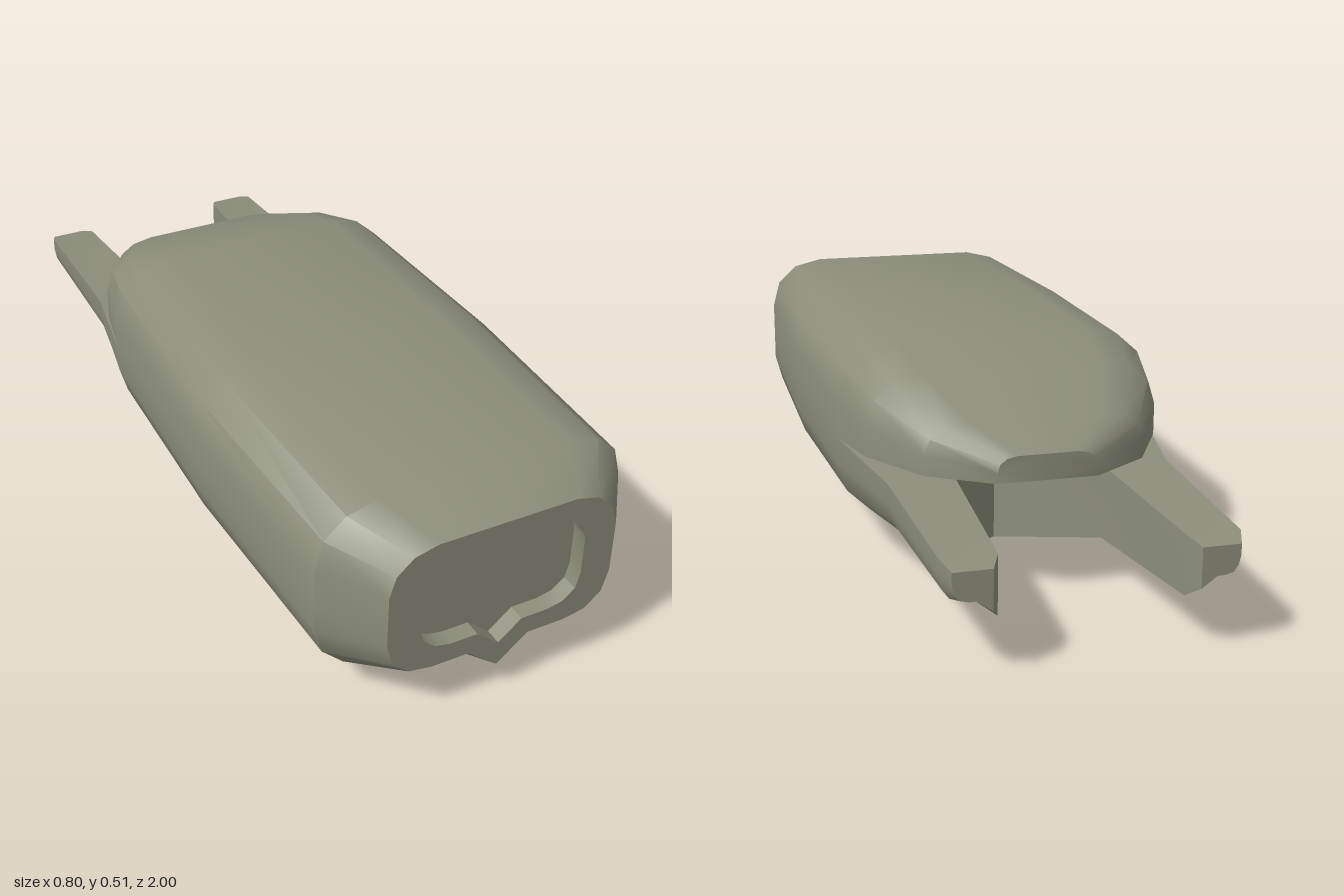
import * as THREE from 'three';
import { toCreasedNormals } from 'three/addons/utils/BufferGeometryUtils.js';

// Half cross-section of the hull, from top centre round to the keel ridge
const HALF = [
  [0, 0.515], [0.245, 0.515], [0.325, 0.497], [0.38, 0.45], [0.4, 0.38], [0.4, 0.285],
  [0.4, 0.22], [0.38, 0.152], [0.325, 0.102], [0.25, 0.085], [0.165, 0.085], [0, 0],
];
const FACE = [
  [0, 0.47], [0.165, 0.47], [0.22, 0.456], [0.26, 0.42], [0.275, 0.37], [0.275, 0.285],
  [0.275, 0.24], [0.26, 0.185], [0.22, 0.15], [0.165, 0.14], [0.075, 0.14], [0, 0.078],
];
const RECESS = [
  [0, 0.425], [0.12, 0.425], [0.158, 0.416], [0.188, 0.388], [0.198, 0.355], [0.198, 0.285],
  [0.198, 0.258], [0.188, 0.22], [0.158, 0.195], [0.12, 0.187], [0.055, 0.187], [0, 0.14],
];
const SPLIT_Z = -0.24; // where the body divides into tail and arms
const SPLIT_Y = 0.285;

const at = (pts, z) => pts.map(([x, y]) => [x, y, z]);

// Closes a half section by mirroring its inner points
const mirrored = (half) =>
  half.concat(half.slice(1, -1).reverse().map(([x, y, z]) => [-x, y, z]));

// Hull half section at a given half width and keel width
const section = (width, keel) =>
  HALF.map(([x, y], i) => [i === 10 ? keel : (x * width) / 0.4, y]);

// Flat end cap facing +z or -z
function cap(out, ring, facing) {
  const flat = ring.map(([x, y]) => new THREE.Vector2(x, y));
  for (const [a, b, c] of THREE.ShapeUtils.triangulateShape(flat, [])) {
    const area = THREE.ShapeUtils.area([flat[a], flat[b], flat[c]]);
    const order = area * facing > 0 ? [a, b, c] : [a, c, b];
    for (const i of order) out.push(...ring[i]);
  }
}

// Skin through rings that run from front to back
function loft(out, rings) {
  for (let r = 0; r < rings.length - 1; r++) {
    const n = rings[r].length;
    for (let i = 0; i < n; i++) {
      const j = (i + 1) % n;
      const a = rings[r][i], b = rings[r][j], c = rings[r + 1][j], d = rings[r + 1][i];
      out.push(...a, ...b, ...c, ...a, ...c, ...d);
    }
  }
}

export function createModel() {
  const model = new THREE.Group();
  model.name = 'hull';
  const material = new THREE.MeshStandardMaterial({ color: 0x8c8e7a });
  material.name = 'olive grey';

  const positions = [];
  const parts = [];
  const part = (name, build) => {
    const start = positions.length;
    build();
    parts.push([name, start, positions.length]);
  };
  const splitSection = section(0.385, 0.165);

  // Front plate with its shallow recess
  part('frontPlate', () => {
    const rings = [at(RECESS, 0.96), at(RECESS, 1), at(FACE, 1)].map(mirrored);
    cap(positions, rings[0], 1);
    loft(positions, rings);
  });

  // Main body with bevelled front and V keel
  part('mainBody', () => {
    loft(positions, [
      at(FACE, 1),
      at(section(0.375, 0.075), 0.87),
      at(section(0.4, 0.12), 0.3),
      at(splitSection, SPLIT_Z),
    ].map(mirrored));
  });

  // Upper tail: rounded top tapering over a flat underside
  part('upperTail', () => {
    const top = splitSection.slice(0, 6).concat([[0, SPLIT_Y]]);
    const stations = [[SPLIT_Z, 0.385, 0.515], [-0.4, 0.35, 0.47], [-0.57, 0.255, 0.4], [-0.665, 0.115, 0.345]];
    const rings = stations.map(([z, width, height], k) => mirrored(at(
      k === 0 ? top : top.map(([x, y]) => [
        (x * width) / 0.385,
        SPLIT_Y + ((y - SPLIT_Y) * (height - SPLIT_Y)) / (0.515 - SPLIT_Y),
      ]), z)));
    loft(positions, rings);
    cap(positions, rings[rings.length - 1], -1);
  });

  // Rear arms forking from the keel
  const armRings = [
    at([[0, SPLIT_Y], ...splitSection.slice(5)], SPLIT_Z),
    at([[0.175, 0.262], [0.33, 0.262], [0.33, 0.215], [0.325, 0.18], [0.305, 0.15], [0.27, 0.14], [0.235, 0.14], [0.175, 0.085]], -0.53),
    at([[0.2, 0.245], [0.32, 0.245], [0.32, 0.21], [0.315, 0.18], [0.3, 0.16], [0.27, 0.152], [0.25, 0.152], [0.2, 0.112]], -0.96),
    at([[0.22, 0.23], [0.305, 0.23], [0.305, 0.205], [0.3, 0.185], [0.29, 0.17], [0.27, 0.165], [0.255, 0.165], [0.22, 0.14]], -1),
  ];
  for (const side of [1, -1]) {
    part(side > 0 ? 'leftArm' : 'rightArm', () => {
      const rings = side > 0 ? armRings
        : armRings.map((ring) => ring.map(([x, y, z]) => [-x, y, z]).reverse());
      loft(positions, rings);
      cap(positions, rings[rings.length - 1], -1);
    });
  }

  // Crease the whole skin together so shading flows across the joins, then cut it into parts
  const skin = new THREE.BufferGeometry();
  skin.setAttribute('position', new THREE.Float32BufferAttribute(positions, 3));
  const creased = toCreasedNormals(skin, 0.6);
  for (const [name, start, end] of parts) {
    const geometry = new THREE.BufferGeometry();
    for (const key of ['position', 'normal']) {
      const data = creased.getAttribute(key).array.slice(start, end);
      geometry.setAttribute(key, new THREE.BufferAttribute(data, 3));
    }
    const mesh = new THREE.Mesh(geometry, material);
    mesh.name = name;
    model.add(mesh);
  }
  return model;
}
